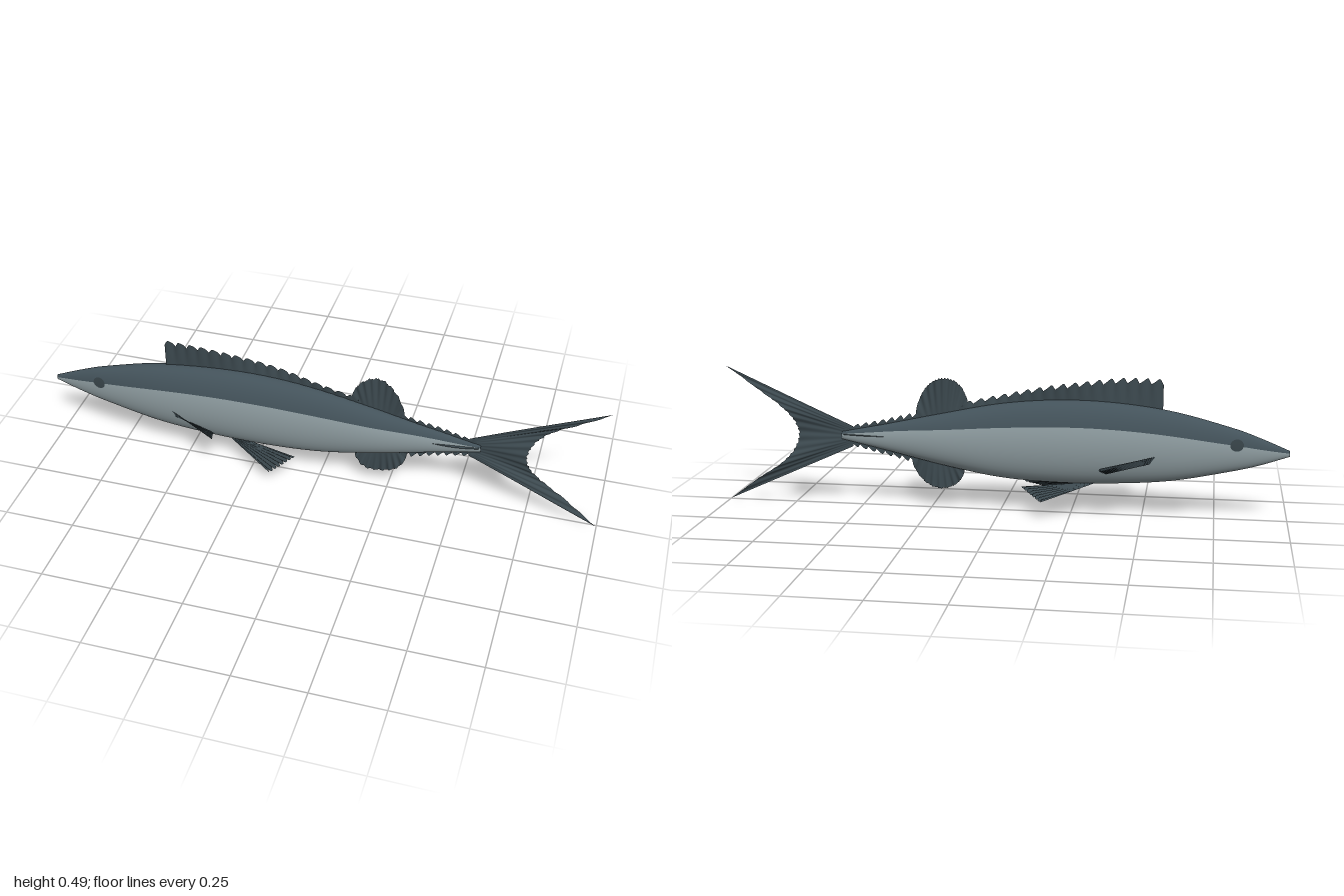
import * as THREE from 'three';

const mat = (name, color, side = THREE.FrontSide) => {
  const m = new THREE.MeshStandardMaterial({ color, side });
  m.name = name;
  return m;
};
const V = (x, y, z = 0) => new THREE.Vector3(x, y, z);
const Z0 = 0.003; // body mid-plane

// Body stations: x, top, bottom, half width, height fraction of the colour line
const stations = [
  [-1, 0.25, 0.23, 0.006, 0.2], [-0.9, 0.291, 0.196, 0.02, 0.25], [-0.8, 0.325, 0.17, 0.034, 0.3],
  [-0.6, 0.375, 0.13, 0.057, 0.38], [-0.4, 0.4, 0.113, 0.068, 0.42], [-0.2, 0.404, 0.109, 0.07, 0.43],
  [0, 0.385, 0.12, 0.063, 0.43], [0.2, 0.345, 0.155, 0.05, 0.45], [0.4, 0.301, 0.2, 0.026, 0.5],
  [0.575, 0.265, 0.238, 0.007, 0.45],
];
const heights = new THREE.CatmullRomCurve3(stations.map(s => V(s[0], s[1], s[2])), false, 'catmullrom');
const widths = new THREE.CatmullRomCurve3(stations.map(s => V(s[0], s[3], s[4])), false, 'catmullrom');

function section(t) {
  const a = heights.getPoint(t), b = widths.getPoint(t);
  return { x: a.x, top: a.y, bottom: a.z, c: (a.y + a.z) / 2, h: (a.y - a.z) / 2, w: b.y, line: b.z };
}
function sectionAt(x) {
  let lo = 0, hi = 1;
  for (let i = 0; i < 24; i++) {
    const mid = (lo + hi) / 2;
    if (heights.getPoint(mid).x < x) lo = mid; else hi = mid;
  }
  return section(lo);
}

function geometry(pos, index) {
  const g = new THREE.BufferGeometry();
  g.setAttribute('position', new THREE.Float32BufferAttribute(pos, 3));
  g.setIndex(index);
  g.computeVertexNormals();
  return g;
}

// Elliptical rings; the first arc of each ring is the back, the rest the belly
function bodyGeometry() {
  const RINGS = 64, BACK = 18, ALL = 44, pos = [], back = [], belly = [];
  for (let i = -1; i <= RINGS + 1; i++) {
    const s = section(Math.min(1, Math.max(0, i / RINGS)));
    const k = i < 0 || i > RINGS ? 0 : 1; // closed ends
    const a0 = Math.asin(s.line);
    for (let j = 0; j < ALL; j++) {
      const a = j < BACK
        ? a0 + (Math.PI - 2 * a0) * j / BACK
        : Math.PI - a0 + (Math.PI + 2 * a0) * (j - BACK) / (ALL - BACK);
      pos.push(s.x, s.c + k * s.h * Math.sin(a), Z0 + k * s.w * Math.cos(a));
    }
  }
  for (let i = 0; i < RINGS + 2; i++) for (let j = 0; j < ALL; j++) {
    const p = i * ALL + j, q = i * ALL + (j + 1) % ALL;
    (j < BACK ? back : belly).push(p, p + ALL, q, q, p + ALL, q + ALL);
  }
  const g = geometry(pos, [...back, ...belly]);
  g.addGroup(0, back.length, 0);
  g.addGroup(back.length, belly.length, 1);
  return g;
}

// Sheet spanned between a root line and an outer edge, rippled towards the edge
function sheet(root, edge, cols, rows, ripple) {
  const pos = [], index = [];
  for (let i = 0; i <= cols; i++) for (let j = 0; j <= rows; j++) {
    const t = i / cols, u = j / rows;
    const p = root(t).lerp(edge(t), u).add(ripple(t, u));
    pos.push(p.x, p.y, p.z);
    if (i < cols && j < rows) {
      const a = i * (rows + 1) + j, b = a + rows + 1;
      index.push(a, b, a + 1, a + 1, b, b + 1);
    }
  }
  return geometry(pos, index);
}

// Patch of the body side lying just above the skin
function eyeGeometry(side) {
  const g = new THREE.CircleGeometry(0.023, 24), p = g.attributes.position;
  for (let i = 0; i < p.count; i++) {
    const x = -0.82 + p.getX(i), y = 0.27 + p.getY(i) * 0.9, s = sectionAt(x);
    const z = s.w * Math.sqrt(Math.max(0, 1 - ((y - s.c) / s.h) ** 2)) + 0.002;
    p.setXYZ(i, x, y, Z0 + side * z);
  }
  g.computeVertexNormals();
  if (side < 0) g.attributes.normal.array.forEach((n, i, a) => { a[i] = -n; });
  return g;
}

export function createModel() {
  const group = new THREE.Group();
  const backMat = mat('back slate', 0x43525a);
  const bellyMat = mat('belly silver', 0x8e9ca0);
  const finMat = mat('fin slate', 0x3c494f, THREE.DoubleSide);
  const eyeMat = mat('eye dark', 0x364247, THREE.DoubleSide);
  const add = (name, geo, m) => {
    const mesh = new THREE.Mesh(geo, m);
    mesh.name = name;
    group.add(mesh);
  };
  const lerp = THREE.MathUtils.lerp;

  add('body', bodyGeometry(), [backMat, bellyMat]);

  // Fins along the midline: root follows the body, edge is given by a height rule
  const midFin = (name, x0, x1, dir, height, cols, teeth, wave) => add(name, sheet(
    t => {
      const x = lerp(x0, x1, t), s = sectionAt(x);
      return V(x, dir > 0 ? s.top - 0.008 : s.bottom + 0.008, Z0);
    },
    t => {
      const x = lerp(x0, x1, t), s = sectionAt(x), e = height(t);
      return V(x + e.lean, (dir > 0 ? s.top : s.bottom) + dir * e.y, Z0);
    },
    cols, 4,
    (t, u) => V(0, 0, u * wave * (Math.sin(t * teeth * Math.PI * 2) * 0.5 + Math.sin(t * 9) * 0.7))), finMat);
  const saw = (t, n) => { const f = (t * n) % 1; return f < 0.3 ? f / 0.3 : (1 - f) / 0.7; };

  // Spiny first dorsal fin
  const spine = new THREE.CatmullRomCurve3([
    V(0, 0.085), V(0.15, 0.07), V(0.35, 0.048), V(0.6, 0.032), V(0.85, 0.017), V(1, 0.012)]);
  midFin('firstDorsalFin', -0.565, 0.14, 1, t => ({
    y: spine.getPoint(t).y + (0.022 - 0.008 * t) * saw(t, 17), lean: 0 }), 136, 17, 0.007);

  // Rounded second dorsal and anal fins with fine scallops
  const round = size => t => ({
    y: size * Math.pow(Math.max(0, Math.sin(Math.PI * t)), 0.55) * (1 - 0.04 * saw(t, 20)),
    lean: -0.025 * Math.cos(Math.PI * t) });
  midFin('secondDorsalFin', 0.14, 0.28, 1, round(0.128), 80, 8, 0.007);
  midFin('analFin', 0.155, 0.295, -1, round(0.09), 80, 8, 0.007);

  // Rows of finlets before the tail
  const finlets = t => ({ y: 0.004 + (0.018 - 0.006 * t) * saw(t, 9), lean: 0.006 });
  midFin('upperFinlets', 0.28, 0.565, 1, finlets, 72, 9, 0.003);
  midFin('lowerFinlets', 0.29, 0.565, -1, finlets, 72, 9, 0.003);

  // Forked tail
  const fork = new THREE.CatmullRomCurve3([
    V(1, 0), V(0.89, 0.083), V(0.8, 0.145), V(0.755, 0.195), V(0.738, 0.25),
    V(0.755, 0.305), V(0.8, 0.355), V(0.89, 0.417), V(1, 0.492)]);
  add('tailFin', sheet(
    t => V(0.535, lerp(0.212, 0.286, t), Z0),
    t => { const p = fork.getPoint(t); p.x -= 0.006 * saw(t, 24) * Math.sin(Math.PI * t); return p; },
    96, 8,
    (t, u) => V(0, 0, 0.008 * u * Math.sin(t * 12 + u * 2) + 0.002 * u * Math.sin(t * 75))), finMat);

  for (const side of [1, -1]) {
    const tag = side > 0 ? 'left' : 'right';
    const P = (x, y, z) => V(x, y, z * side);

    // Paired fins: a ribbed fan between a short root and a ragged edge
    const fan = (name, a, b, c, d) => add(name, sheet(
      t => P(...a).lerp(P(...b), t),
      t => P(...a).lerp(P(...b), t).lerp(P(...c).lerp(P(...d), t), 1 - 0.05 * saw(t, 7)),
      56, 5,
      (t, u) => P(0, 0.005 * u * Math.sin(t * Math.PI * 14), 0)), finMat);
    fan(tag + 'PectoralFin', [-0.545, 0.228, 0.058], [-0.525, 0.2, 0.06], [-0.355, 0.192, 0.138], [-0.375, 0.166, 0.07]);
    fan(tag + 'PelvicFin', [-0.34, 0.116, 0.012], [-0.3, 0.114, 0.008], [-0.155, 0.064, 0.112], [-0.08, 0.1, 0.045]);

    // Small horizontal keel beside the tail root
    add(tag + 'Keel', sheet(
      t => V(lerp(0.4, 0.57, t), 0.256, Z0),
      t => V(lerp(0.4, 0.57, t), 0.256, Z0 + side * (0.024 + 0.008 * Math.sin(Math.PI * t) - 0.012 * t)),
      16, 2, (t, u) => V(0, 0.003 * (1 - u), 0)), finMat);

    add(tag + 'Eye', eyeGeometry(side), eyeMat);
  }
  return group;
}
